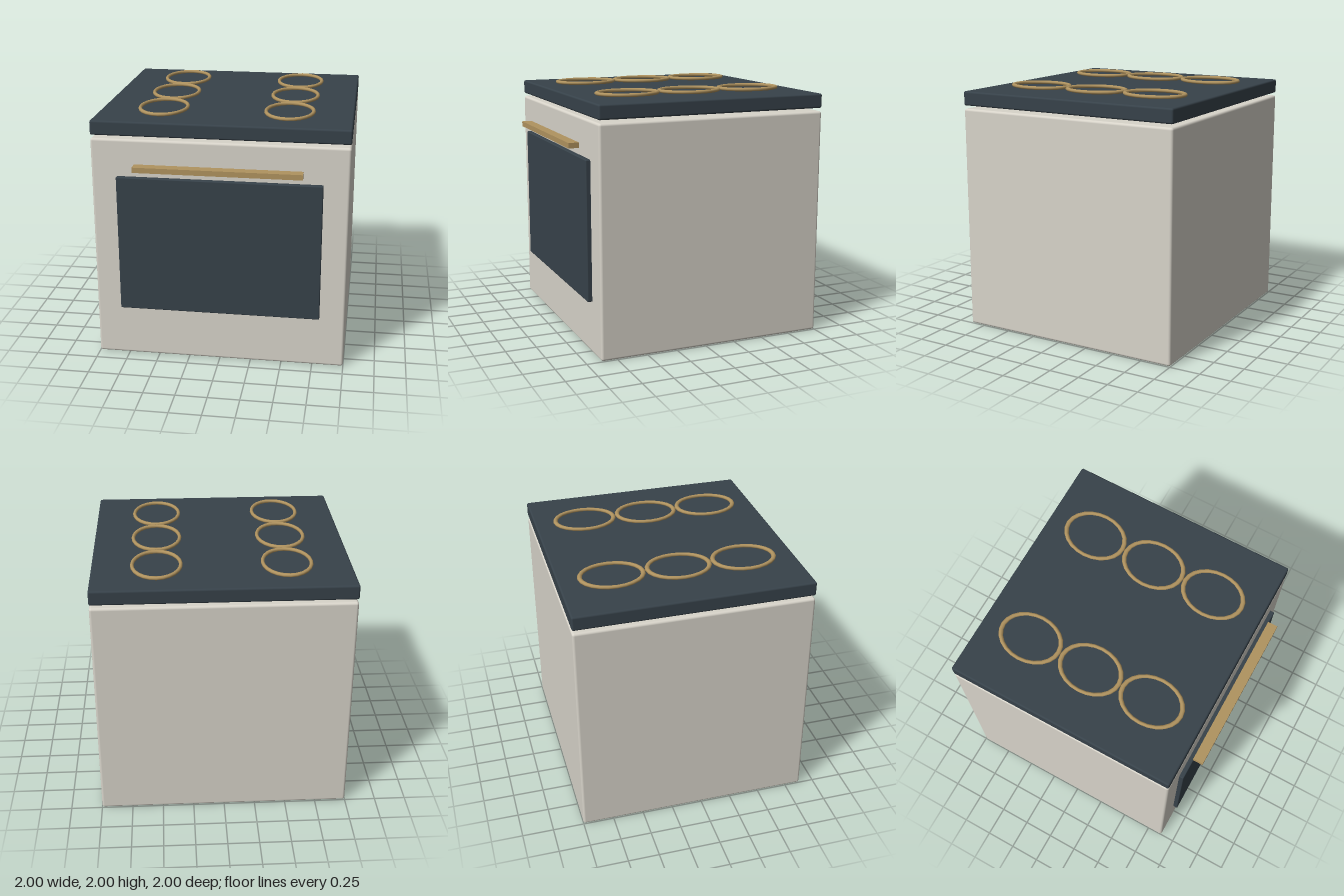
import * as THREE from 'three';
import { RoundedBoxGeometry } from 'three/addons/geometries/RoundedBoxGeometry.js';

const paint = (color) => new THREE.MeshStandardMaterial({ color });

export function createModel() {
  const stove = new THREE.Group();
  stove.name = 'stove';
  const cream = paint(0xd8d4ca);
  const slate = paint(0x37424a);
  const brass = paint(0xb0935f);

  // Adds a box between two corners, with softened edges if a radius is given
  function addBox(name, material, [x0, y0, z0], [x1, y1, z1], radius = 0) {
    const size = [x1 - x0, y1 - y0, z1 - z0];
    const geometry = radius
      ? new RoundedBoxGeometry(...size, 3, radius)
      : new THREE.BoxGeometry(...size);
    const mesh = new THREE.Mesh(geometry, material);
    mesh.name = name;
    mesh.position.set((x0 + x1) / 2, (y0 + y1) / 2, (z0 + z1) / 2);
    stove.add(mesh);
  }

  // Cabinet, with the cooktop floating just above it
  addBox('cabinet', cream, [-1, 0, -1], [1, 1.825, 0.88], 0.02);
  addBox('cooktop', slate, [-1, 1.85, -1], [1, 1.965, 0.88], 0.015);

  // Oven door and its handle bar
  addBox('ovenDoor', slate, [-0.8, 0.42, 0.86], [0.8, 1.53, 0.917], 0.008);
  addBox('doorHandle', brass, [-0.65, 1.6, 0.917], [0.65, 1.642, 1]);

  // Two rows of three oval burner rings
  const ring = new THREE.TorusGeometry(0.187, 0.0145, 8, 24);
  ring.rotateX(Math.PI / 2);
  ring.scale(1, 1, 1.31);
  const burners = new THREE.Group();
  burners.name = 'burners';
  for (const x of [-0.5, 0.5]) {
    for (const z of [-0.59, -0.063, 0.463]) {
      const burner = new THREE.Mesh(ring, brass);
      burner.name = 'burnerRing';
      burner.position.set(x, 1.9855, z);
      burners.add(burner);
    }
  }
  stove.add(burners);

  return stove;
}
